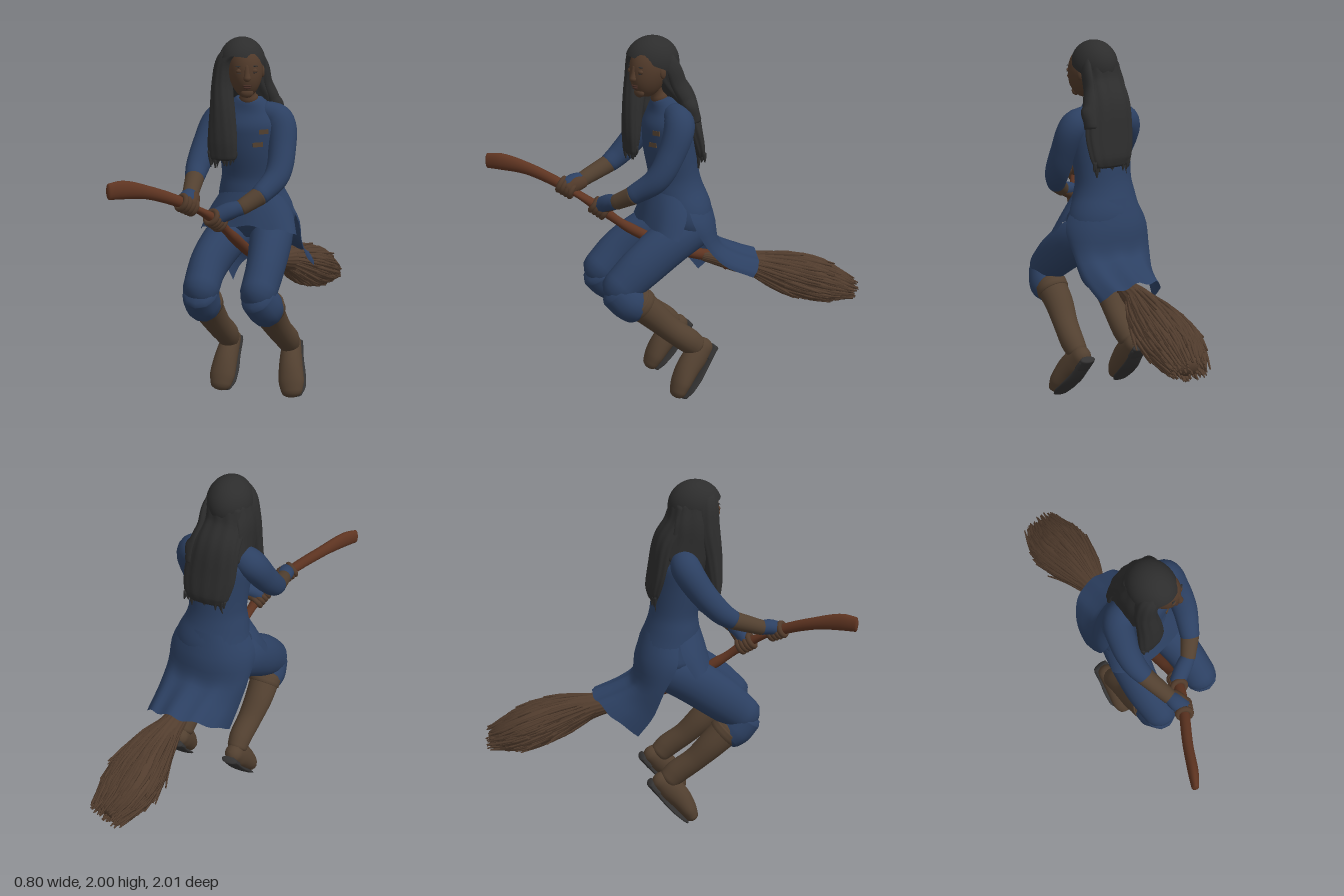
import * as THREE from 'three';
import { mergeGeometries } from 'three/addons/utils/BufferGeometryUtils.js';

const mat = (name, color, side = THREE.FrontSide) => {
  const m = new THREE.MeshStandardMaterial({ color, side });
  m.name = name;
  return m;
};
const cloth = mat('blue cloth', 0x2c4062, THREE.DoubleSide);
const skin = mat('skin', 0x513a2a);
const lip = mat('lips', 0x452c24);
const hair = mat('black hair', 0x2d2d2d);
const leather = mat('brown leather', 0x524030);
const sole = mat('dark sole', 0x333232);
const wood = mat('reddish wood', 0x5e3421);
const straw = mat('bristle brown', 0x523d2e);

const X = new THREE.Vector3(1, 0, 0), Y = new THREE.Vector3(0, 1, 0);

// Moving frame along points [x, y, z, radiusA, radiusB]
function frameOf(pts, side = X) {
  const path = new THREE.CatmullRomCurve3(pts.map(p => new THREE.Vector3(p[0], p[1], p[2])));
  const radii = new THREE.CatmullRomCurve3(pts.map(p => new THREE.Vector3(p[3], p[4] ?? p[3], 0)));
  return t => {
    const T = path.getTangent(t), r = radii.getPoint(t);
    const U = side.clone().addScaledVector(T, -side.dot(T)).normalize();
    return { p: path.getPoint(t), T, U, V: T.clone().cross(U), a: r.x, b: r.y };
  };
}

// Elliptical sweep with domed ends; ripple gives strand-like ridges
function sweep(pts, { side = X, sides = 20, steps = 24, dome = 0.5, ripple = 0, waves = 9 } = {}) {
  const at = frameOf(pts, side), pos = [], idx = [], rings = [];
  const caps = dome ? [0.5, 1, 1.35] : [];
  for (const k of [...caps].reverse()) rings.push([0, -Math.sin(k) * dome, Math.cos(k)]);
  for (let i = 0; i <= steps; i++) rings.push([i / steps, 0, 1]);
  for (const k of caps) rings.push([1, Math.sin(k) * dome, Math.cos(k)]);
  rings.forEach(([t, off, s]) => {
    const f = at(t), c = f.p.addScaledVector(f.T, off * Math.min(f.a, f.b));
    for (let j = 0; j < sides; j++) {
      const w = j / sides * Math.PI * 2, k = s * (1 + ripple * Math.sin(waves * w + 3 * t));
      pos.push(...c.clone().addScaledVector(f.U, f.a * k * Math.cos(w)).addScaledVector(f.V, f.b * k * Math.sin(w)).toArray());
    }
  });
  const n = rings.length;
  for (let i = 0; i < n - 1; i++) for (let j = 0; j < sides; j++) {
    const a = i * sides + j, b = i * sides + (j + 1) % sides;
    idx.push(a, b, a + sides, b, b + sides, a + sides);
  }
  for (let j = 1; j < sides - 1; j++) {
    const e = (n - 1) * sides;
    idx.push(0, j + 1, j, e, e + j, e + j + 1);
  }
  return build(pos, idx);
}

function build(pos, idx) {
  const g = new THREE.BufferGeometry();
  g.setAttribute('position', new THREE.Float32BufferAttribute(pos, 3));
  g.setIndex(idx);
  g.computeVertexNormals();
  return g;
}

// Draped sheet from rows: right edge, middle and left edge points
function drape(rows, folds) {
  const curves = [0, 1, 2].map(k => new THREE.CatmullRomCurve3(rows.map(r => new THREE.Vector3(...r[k]))));
  const pos = [], idx = [], N = 28, M = 14;
  for (let i = 0; i <= M; i++) {
    const [R, C, L] = curves.map(c => c.getPoint(i / M));
    for (let j = 0; j <= N; j++) {
      const w = (j / N * 2 - 1) * Math.PI / 2, k = Math.cos(w), s = Math.sin(w);
      const E = s < 0 ? R : L, fold = folds * (i / M) * Math.sin(w * 9) * k;
      pos.push(C.x + (E.x - C.x) * Math.abs(s), E.y + (C.y - E.y) * k + fold, E.z + (C.z - E.z) * k);
    }
  }
  for (let i = 0; i < M; i++) for (let j = 0; j < N; j++) {
    const a = i * (N + 1) + j, b = a + N + 1;
    idx.push(a, b, a + 1, b, b + 1, a + 1);
  }
  return build(pos, idx);
}

export function createModel() {
  const model = new THREE.Group();
  const add = (name, geo, m, parent = model) => {
    const mesh = new THREE.Mesh(geo, m);
    mesh.name = name;
    parent.add(mesh);
    return mesh;
  };
  const ball = (name, m, p, r, parent) => {
    const mesh = add(name, new THREE.SphereGeometry(1, 24, 18), m, parent);
    mesh.position.set(...p);
    mesh.scale.set(...r);
  };
  let seed = 7;
  const rnd = () => (seed = (seed * 16807) % 2147483647) / 2147483647;

  // Tunic: body, lap flap and long tail
  add('tunicBody', sweep([[.08, .93, .03, .2, .13], [.08, 1.02, .04, .225, .175], [.07, 1.15, .06, .185, .155], [.07, 1.26, .07, .165, .135],
    [.07, 1.4, .09, .175, .14], [.07, 1.52, .1, .185, .135], [.07, 1.6, .11, .15, .1], [.075, 1.67, .13, .075, .065]],
    { sides: 32, steps: 32, dome: .2 }), cloth);
  add('tunicFront', drape([[[-.1, 1.14, .07], [.07, 1.17, .21], [.25, 1.14, .07]], [[-.16, 1.04, .09], [.07, 1.08, .24], [.31, 1.04, .09]],
    [[-.195, .935, .15], [.07, .99, .265], [.35, .935, .15]]], .008), cloth);
  add('tunicTail', drape([[[-.11, 1.12, .07], [.07, 1.16, -.1], [.26, 1.12, .07]], [[-.17, 1.0, .05], [.07, 1.0, -.15], [.33, 1.0, .05]],
    [[-.16, .85, -.02], [.08, .86, -.17], [.33, .86, -.03]], [[-.13, .69, -.08], [.1, .81, -.25], [.335, .75, -.13]],
    [[-.11, .575, -.16], [.12, .755, -.39], [.335, .66, -.3]]], .012), cloth);
  // Chest patches
  [[.18, 1.5, .05], [.15, 1.43, .055]].forEach(([x, y, w]) => {
    const patch = add('chestPatch', new THREE.BoxGeometry(w, .025, .008), leather);
    patch.position.set(x, y, y > 1.46 ? .21 : .217);
    patch.rotation.set(-.1, .42, .1);
  });

  // Broom: curved handle with a flared grip, binding and bristles
  const stick = [[-.388, 1.283, .985, .042, .02], [-.34, 1.283, .92, .047, .028], [-.25, 1.25, .79, .034, .028], [-.11, 1.165, .62, .029, .029],
    [-.005, 1.06, .47, .029, .029], [.04, .95, .33, .029, .029], [.075, .78, .02, .031, .031], [.13, .7, -.3, .035, .035]];
  add('broomHandle', sweep(stick, { side: Y, steps: 50 }), wood);
  const brush = [[.1, .74, -.1, .03, .03], [.14, .69, -.28, .055, .055], [.155, .665, -.4, .075, .072], [.19, .6, -.58, .13, .112],
    [.2, .545, -.74, .155, .115], [.22, .5, -.86, .13, .088], [.24, .475, -.935, .09, .055]];
  add('bristleCore', sweep(brush, { sides: 54, steps: 30, ripple: .05, waves: 18 }), straw);
  const brushAt = frameOf(brush), strands = [];
  for (let i = 0; i < 210; i++) {
    const w = rnd() * Math.PI * 2, t0 = .3 + rnd() * .45, t1 = Math.min(1, t0 + .2 + rnd() * .35), grow = .98 + rnd() * rnd() * .34;
    const on = (t, k, r) => {
      const f = brushAt(t);
      return [...f.p.addScaledVector(f.U, f.a * k * Math.cos(w)).addScaledVector(f.V, f.b * k * Math.sin(w))
        .addScaledVector(f.T, t === 1 ? rnd() * .045 : 0).toArray(), r];
    };
    strands.push(sweep([on(t0, .95, .006), on((t0 + t1) / 2, 1.02, .011), on(t1, grow, .004)], { sides: 5, steps: 5, dome: 0 }));
  }
  for (let i = 0; i < 70; i++) {
    const f = brushAt(1), w = rnd() * 6.28, k = Math.sqrt(rnd()) * 1.1;
    const q = f.p.clone().addScaledVector(f.U, f.a * k * Math.cos(w)).addScaledVector(f.V, f.b * k * Math.sin(w));
    const e = q.clone().addScaledVector(f.T, .02 + rnd() * .04);
    strands.push(sweep([[q.x, q.y, q.z + .04, .01], [...q.toArray(), .009], [...e.toArray(), .004]], { sides: 5, steps: 3, dome: 0 }));
  }
  add('bristleStrands', mergeGeometries(strands), straw);
  const binding = brushAt(.12), ring = add('binding', new THREE.TorusGeometry(.042, .012, 10, 24), wood);
  ring.position.copy(binding.p);
  ring.quaternion.setFromUnitVectors(new THREE.Vector3(0, 0, 1), binding.T);

  // Arms: sleeve, bracer, glove, palm and fingers round the handle
  const stickAt = frameOf(stick, Y);
  const arm = (label, sleeve, wrist, t, inner) => {
    const g = new THREE.Group(), elbow = sleeve[sleeve.length - 1], f = stickAt(t), h = f.p;
    g.name = label + 'Arm';
    model.add(g);
    add('sleeve', sweep(sleeve, { steps: 30 }), cloth, g);
    add('bracer', sweep([[elbow[0], elbow[1], elbow[2], .051], [...wrist, .042]], { steps: 6 }), leather, g);
    const mid = wrist.map((v, i) => (v + h.getComponent(i)) / 2 + (i === 1 ? .014 : 0));
    add('glove', sweep([[...wrist, .04], [mid[0], mid[1], mid[2], .048, .042], [h.x, h.y + .016, h.z, .045, .04]], { steps: 10, dome: .7 }), cloth, g);
    add('palm', sweep([[wrist[0] + inner, wrist[1] - .006, wrist[2], .032, .036], [mid[0] + inner, mid[1] - .012, mid[2], .038, .044],
      [h.x + inner, h.y - .004, h.z, .034, .042]], { steps: 10, dome: .7 }), skin, g);
    for (let i = 0; i < 4; i++) {
      const finger = add('finger', new THREE.TorusGeometry(.036, .0155, 10, 22), skin, g);
      finger.position.copy(h).addScaledVector(f.T, (i - 1.5) * .024);
      finger.quaternion.setFromUnitVectors(new THREE.Vector3(0, 0, 1), f.T);
    }
  };
  arm('left', [[.15, 1.6, .1, .06], [.235, 1.545, .1, .083], [.268, 1.4, .16, .074], [.262, 1.27, .24, .068], [.2, 1.18, .35, .053]], [.12, 1.125, .42], 4 / 7, -.006);
  arm('right', [[-.01, 1.6, .1, .06], [-.105, 1.545, .11, .082], [-.15, 1.42, .19, .074], [-.165, 1.31, .29, .064], [-.158, 1.26, .36, .053]], [-.125, 1.195, .53], 3 / 7, .022);

  // Legs: x positions for hip, thigh, knee, calf, ankle, toe
  const leg = (label, [hip, thigh, knee, calf, ankle, toe]) => {
    const g = new THREE.Group();
    g.name = label + 'Leg';
    model.add(g);
    const mix = k => ankle + (toe - ankle) * k;
    add('trouserThigh', sweep([[hip, .95, -.01, .12, .12], [thigh, .885, .14, .115, .128], [knee, .775, .31, .102, .124], [knee, .665, .445, .096, .106]],
      { dome: .85 }), cloth, g);
    add('trouserKnee', sweep([[knee, .655, .45, .094, .104], [calf, .59, .4, .098, .1], [calf, .555, .355, .09, .092]], { ripple: .02 }), cloth, g);
    add('bootShaft', sweep([[calf, .59, .36, .088, .09], [calf, .5, .265, .082, .08], [(calf + ankle) / 2, .4, .165, .071, .068],
      [ankle, .325, .07, .066, .07], [ankle, .28, .02, .058, .062]], { dome: .4 }), leather, g);
    add('bootCuff', sweep([[calf, .585, .355, .094, .096], [calf, .555, .323, .092, .094]], { steps: 3, dome: .1 }), leather, g);
    add('bootFoot', sweep([[ankle, .275, -.03, .052, .055], [mix(.25), .22, .03, .06, .072], [mix(.5), .165, .08, .067, .066],
      [mix(.8), .095, .125, .072, .054], [mix(1), .045, .15, .06, .042]], { dome: .8 }), leather, g);
    add('bootSole', sweep([[ankle, .25, -.08, .052, .014], [mix(.3), .175, -.025, .056, .014], [mix(.6), .105, .033, .068, .014],
      [mix(.85), .055, .083, .07, .013], [mix(1), .015, .122, .05, .012]], { dome: 1 }), sole, g);
    add('bootHeel', sweep([[ankle, .265, -.088, .048, .022], [mix(.15), .205, -.042, .052, .022]], { steps: 4, dome: .3 }), sole, g);
  };
  leg('left', [.17, .2, .22, .245, .28, .33]);
  leg('right', [-.01, -.06, -.1, -.105, -.075, -.085]);

  // Head, turned slightly to its left
  add('neck', sweep([[.075, 1.6, .11, .06], [.077, 1.68, .15, .05], [.078, 1.77, .18, .05]]), skin);
  const head = new THREE.Group();
  head.name = 'head';
  head.position.set(.076, 1.825, .205);
  head.rotation.set(.06, .38, 0);
  model.add(head);
  const skull = new THREE.SphereGeometry(1, 36, 28), v = skull.attributes.position;
  for (let i = 0; i < v.count; i++) {
    const y = v.getY(i), jaw = Math.max(0, -y);
    v.setXYZ(i, v.getX(i) * .094 * (1 - .15 * jaw), y * .142, v.getZ(i) * .118 * (1 - .05 * jaw) + .026 * jaw);
  }
  skull.computeVertexNormals();
  add('face', skull, skin, head);
  add('nose', sweep([[0, .035, .106, .012, .01], [0, 0, .115, .014, .012], [0, -.028, .12, .02, .018]], { sides: 16, steps: 12, dome: .9 }), skin, head);
  ball('upperLip', lip, [0, -.066, .112], [.024, .006, .01], head);
  ball('lowerLip', lip, [0, -.077, .11], [.02, .007, .01], head);
  ball('chin', skin, [0, -.108, .084], [.034, .026, .02], head);
  for (const s of [-1, 1]) {
    ball('eyelid', skin, [s * .037, .01, .1], [.02, .013, .012], head);
    ball('lashLine', hair, [s * .037, .001, .106], [.016, .0025, .006], head);
    ball('eyebrow', hair, [s * .039, .035, .1], [.021, .0035, .006], head);
    ball('ear', skin, [s * .092, -.01, -.01], [.012, .032, .02], head);
  }

  // Hair: crown, long back fall, right side, front lock and ragged tips
  const crown = add('hairCrown', new THREE.SphereGeometry(1, 40, 24, 0, Math.PI * 2, 0, Math.PI * .53), hair);
  crown.position.set(.05, 1.86, .18);
  crown.scale.set(.124, .14, .148);
  crown.geometry.rotateX(-.42);
  add('hairBack', sweep([[.047, 1.85, .135, .113, .1], [.045, 1.77, .1, .12, .082], [.06, 1.66, .03, .135, .075], [.08, 1.5, -.01, .148, .062],
    [.09, 1.38, -.04, .13, .045], [.09, 1.34, -.045, .11, .03]], { sides: 60, steps: 30, ripple: .025, waves: 12 }), hair);
  add('hairRightSide', sweep([[-.025, 1.87, .18, .045, .1], [-.05, 1.76, .17, .045, .12], [-.055, 1.66, .15, .04, .12], [-.05, 1.56, .11, .045, .11]],
    { sides: 48, ripple: .025, waves: 10 }), hair);
  add('hairFrontLock', sweep([[.045, 1.935, .24, .045, .05], [-.02, 1.88, .235, .05, .06], [-.042, 1.76, .235, .056, .065], [-.035, 1.6, .26, .07, .056],
    [-.03, 1.45, .275, .08, .045], [-.03, 1.36, .28, .075, .03]], { sides: 48, steps: 30, ripple: .025, waves: 10 }), hair);
  add('hairLeftSide', sweep([[.13, 1.9, .15, .02, .05], [.152, 1.83, .1, .022, .045], [.158, 1.75, .07, .024, .045], [.175, 1.66, .03, .04, .045],
    [.19, 1.55, .0, .04, .045]], { ripple: .03 }), hair);
  const tips = [];
  [[.09, 1.37, -.045, .12, .03, 22], [-.03, 1.4, .28, .072, .028, 16]].forEach(([x, y, z, a, b, n]) => {
    for (let i = 0; i < n; i++) {
      const u = (i + .5) / n * 2 - 1, px = x + u * a, pz = z + (rnd() - .5) * b, low = y - .05 - rnd() * .045;
      tips.push(sweep([[px, y, pz, .013, .011], [px + .004, (y + low) / 2, pz, .01], [px + (rnd() - .5) * .02, low, pz, .003]], { sides: 6, steps: 5, dome: 0 }));
    }
  });
  add('hairTips', mergeGeometries(tips), hair);
  return model;
}
